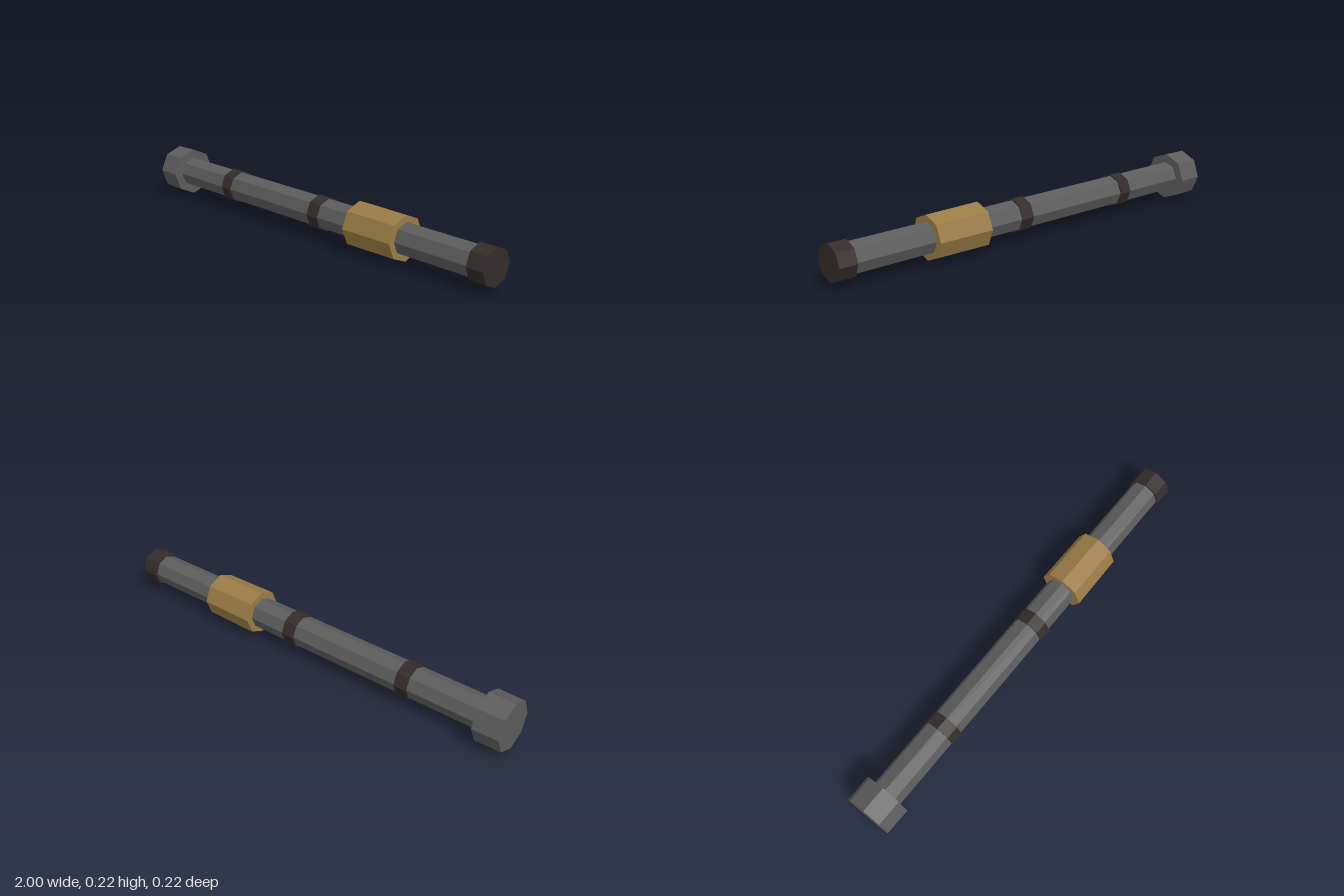
import * as THREE from 'three';

const AXIS_Y = 0.114;
const SIDES = 8;

const material = (color) => new THREE.MeshStandardMaterial({ color, flatShading: true });

export function createModel() {
  const group = new THREE.Group();
  const steel = material(0x5c5c5c);
  const brass = material(0x9a7b45);
  const dark = material(0x332c2a);

  // Octagonal bar along x from x0 to x1, with a radius at each end and a slight roll
  function bar(name, x0, x1, r0, r1, mat, roll = 0) {
    const geometry = new THREE.CylinderGeometry(r1, r0, x1 - x0, SIDES);
    geometry.rotateZ(-Math.PI / 2);
    const mesh = new THREE.Mesh(geometry, mat);
    mesh.name = name;
    mesh.position.set((x0 + x1) / 2, AXIS_Y, 0);
    mesh.rotation.x = roll;
    group.add(mesh);
  }

  // Long handle
  bar('shaft', -0.9, 0.94, 0.071, 0.069, steel);

  // Heavy end with a slightly uneven set
  bar('pommel', -1, -0.88, 0.11, 0.112, steel, -0.025);

  // Dark rings around the handle
  for (const x of [-0.52, 0.08]) bar('band', x - 0.03, x + 0.03, 0.077, 0.077, dark);

  // Sliding sleeve
  bar('sleeve', 0.295, 0.555, 0.101, 0.098, brass, 0.01);

  // End cap
  bar('endCap', 0.92, 1, 0.08, 0.08, dark);

  return group;
}
